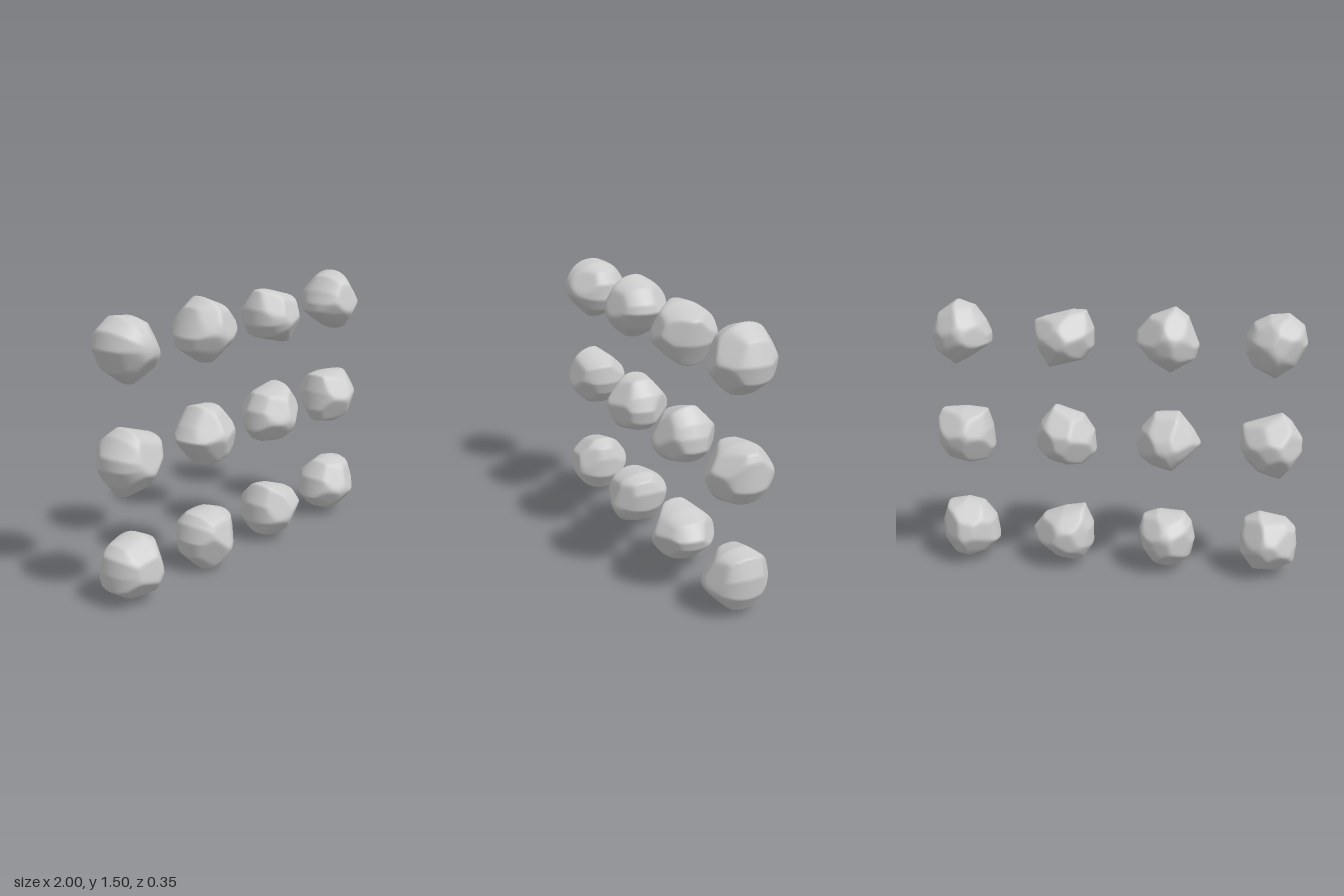
import * as THREE from 'three';
import { mergeVertices } from 'three/addons/utils/BufferGeometryUtils.js';

const material = new THREE.MeshStandardMaterial({ color: 0xcccccc });
const SPACING = 0.56, DEPTH = 0.178;

function seeded(seed) {
  let s = seed * 7919 + 17;
  return () => (s = (s * 16807) % 2147483647) / 2147483647;
}

// Distance from the centre to the outline polygon in direction (x, y)
function outlineRadius(outline, x, y) {
  for (let i = 0; i < outline.length; i++) {
    const [ax, ay] = outline[i], [bx, by] = outline[(i + 1) % outline.length];
    const a = ax * y - ay * x, b = bx * y - by * x;
    if (a * b > 0) continue;
    const t = a / (a - b || 1);
    const px = ax + (bx - ax) * t, py = ay + (by - ay) * t;
    if (px * x + py * y > 0) return Math.hypot(px, py) / 100;
  }
  return 0.16;
}

// Chipped stone: rounded body following an outline, cut by flat facets.
// outline and front facet centres are in hundredths of a unit.
function makeRock(seed, outline, frontFacets) {
  const random = seeded(seed);
  const planes = frontFacets.map(([x, y]) => {
    const u = x / 17, v = y / 17;
    const n = new THREE.Vector3(u, v, Math.sqrt(Math.max(0.25, 1 - u * u - v * v))).normalize();
    return { n, d: 0.148 + random() * 0.01 };
  });
  // Facets around the back
  const turn = random() * Math.PI * 2;
  for (let i = 0; i < 5; i++) {
    const a = turn + (i + random() * 0.5) * Math.PI * 2 / 5;
    const n = new THREE.Vector3(Math.cos(a), Math.sin(a), -0.75 - random() * 0.5).normalize();
    planes.push({ n, d: 0.147 + random() * 0.012 });
  }
  planes.push({ n: new THREE.Vector3(random() - 0.5, random() - 0.5, -1.6).normalize(), d: 0.164 });

  let geometry = new THREE.IcosahedronGeometry(1, 18);
  geometry.deleteAttribute('uv');
  geometry.deleteAttribute('normal');
  geometry = mergeVertices(geometry, 1e-4);
  const position = geometry.attributes.position, dir = new THREE.Vector3();
  const P = 45; // sharpness of the facet edges
  for (let i = 0; i < position.count; i++) {
    dir.fromBufferAttribute(position, i).normalize();
    const flat = Math.hypot(dir.x, dir.y);
    const ring = flat > 1e-5 ? outlineRadius(outline, dir.x, dir.y) : 0.16;
    const body = 1 / Math.hypot(flat / ring, dir.z / DEPTH);
    let sum = 1;
    for (const { n, d } of planes) {
      const c = dir.dot(n);
      if (c > 0) sum += Math.pow(body * c / d, P);
    }
    dir.multiplyScalar(body * Math.pow(sum, -1 / P));
    position.setXYZ(i, dir.x, dir.y, dir.z);
  }
  geometry.computeVertexNormals();
  return new THREE.Mesh(geometry, material);
}

export function createModel() {
  const group = new THREE.Group();
  group.name = 'rockSet';
  const add = (row, col, outline, facets) => {
    const rock = makeRock(row * 4 + col + 1, outline, facets);
    rock.name = `rockRow${row + 1}Column${col + 1}`;
    rock.position.set((col - 1.5) * SPACING, 0.19 + row * SPACING, 0);
    group.add(rock);
  };

  // Top row
  add(2, 0, [[-6, 16], [4, 15], [12, 11], [16, 4], [16, -5], [12, -12], [0, -18], [-10, -11], [-16, 1], [-14, 10]],
    [[2, -11], [11, 7], [-10, -7]]);
  add(2, 1, [[-3, 18], [10, 13], [17, 5], [18, 0], [10, -10], [-1, -17], [-14, -9], [-16, -2], [-10, 13]],
    [[-10, -7], [5, 5], [-11, 8], [5, -11]]);
  add(2, 2, [[-12, 15], [-4, 15], [11, 11], [16, 9], [15, -4], [8, -16], [-11, -11], [-16, -4], [-16, 5]],
    [[0, 6], [5, -8], [-10, 8], [12, 3]]);
  add(2, 3, [[2, 19], [12, 12], [16, 1], [14, -8], [3, -16], [-6, -11], [-16, -4], [-16, 1], [-13, 8], [-7, 16]],
    [[-4, 4], [8, -8], [10, 8], [-12, -6]]);

  // Middle row
  add(1, 0, [[-5, 18], [7, 14], [16, 11], [17, 0], [14, -7], [7, -14], [-5, -18], [-11, -11], [-16, -2], [-16, 5], [-10, 14]],
    [[-3, -12], [2, 5], [10, -8]]);
  add(1, 1, [[-6, 17], [7, 16], [14, 8], [17, 0], [15, -8], [9, -13], [-3, -16], [-11, -8], [-18, 0], [-14, 7]],
    [[7, -3], [5, 9], [-7, -7], [-10, 9]]);
  add(1, 2, [[6, 18], [13, 10], [16, 3], [16, -5], [9, -12], [-2, -15], [-10, -14], [-17, -7], [-16, 4], [-10, 13]],
    [[5, 5], [-9, -10], [10, -4], [-9, 7]]);
  add(1, 3, [[-12, 14], [0, 15], [13, 14], [15, 10], [15, -5], [9, -13], [-3, -16], [-12, -14], [-16, -7], [-15, 4]],
    [[-9, -7], [7, -5], [8, 9], [-7, 8]]);

  // Bottom row
  add(0, 0, [[5, 17], [13, 13], [15, 6], [15, -5], [8, -15], [-6, -15], [-15, -9], [-16, 0], [-15, 9], [-10, 14]],
    [[-4, -11], [-1, 2], [-2, 13], [12, 5]]);
  add(0, 1, [[-10, 14], [5, 15], [13, 12], [15, 5], [13, -6], [7, -14], [-4, -19], [-14, -9], [-16, 0], [-14, 9]],
    [[-9, -6], [0, 5], [10, 2]]);
  add(0, 2, [[-10, 16], [2, 14], [13, 10], [19, 2], [17, -4], [5, -14], [-6, -16], [-10, -14], [-15, -6], [-15, 5]],
    [[-9, 5], [7, -6], [5, 9], [-6, -11]]);
  add(0, 3, [[-8, 15], [2, 17], [12, 15], [15, 5], [14, -6], [8, -15], [0, -17], [-10, -13], [-17, -6], [-15, 6]],
    [[-8, 8], [5, 5], [2, -11], [-11, -8]]);

  return group;
}
